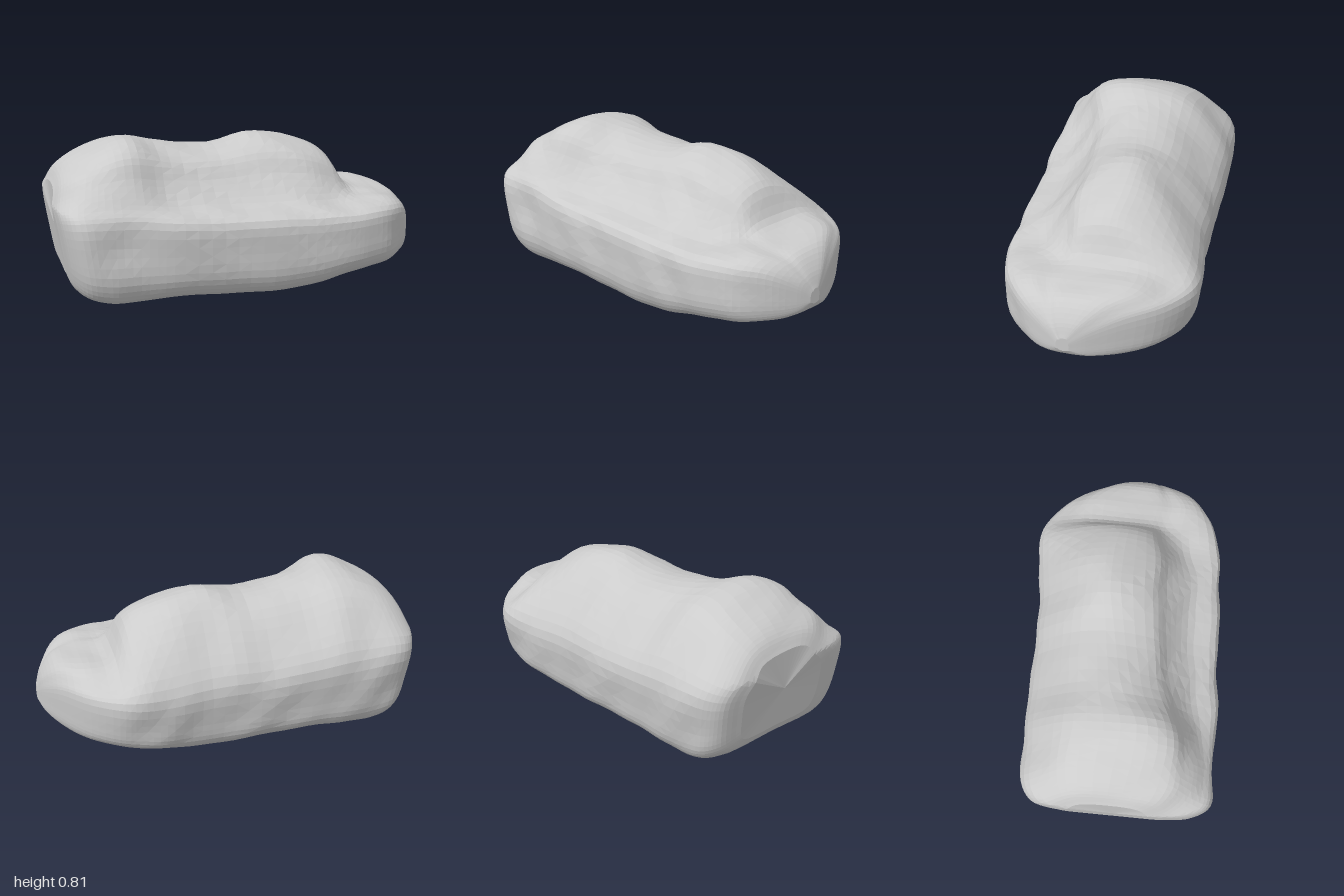
import * as THREE from 'three';

// Cross-sections along the boulder:
// x, bottom, front z, back z, ledge y, ledge inner z, top y, crest z, back shoulder z
const SECTIONS = [
  [-1.0, 0.14, 0.29, -0.26, 0.46, 0.24, 0.57, 0.06, -0.15],
  [-0.98, 0.09, 0.43, -0.38, 0.49, 0.36, 0.64, 0.08, -0.18],
  [-0.92, 0.05, 0.52, -0.44, 0.51, 0.43, 0.70, 0.10, -0.20],
  [-0.78, 0.025, 0.54, -0.47, 0.52, 0.44, 0.755, 0.12, -0.20],
  [-0.60, 0.02, 0.53, -0.48, 0.51, 0.42, 0.80, 0.12, -0.18],
  [-0.42, 0.03, 0.53, -0.48, 0.48, 0.36, 0.755, 0.03, -0.19],
  [-0.12, 0.015, 0.51, -0.49, 0.46, 0.30, 0.725, -0.04, -0.21],
  [0.16, 0.005, 0.50, -0.49, 0.45, 0.29, 0.768, -0.09, -0.21],
  [0.38, 0.03, 0.49, -0.53, 0.44, 0.27, 0.725, -0.09, -0.22],
  [0.53, 0.06, 0.475, -0.535, 0.43, 0.21, 0.65, -0.07, -0.21],
  [0.64, 0.075, 0.45, -0.51, 0.43, 0.20, 0.48, -0.08, -0.28],
  [0.78, 0.09, 0.39, -0.41, 0.425, 0.22, 0.455, -0.04, -0.27],
  [0.90, 0.11, 0.27, -0.225, 0.39, 0.16, 0.425, 0.01, -0.14],
  [0.97, 0.14, 0.15, -0.075, 0.31, 0.11, 0.34, 0.03, -0.04],
  [1.0, 0.18, 0.075, 0.01, 0.24, 0.06, 0.26, 0.04, 0.02],
];
const RINGS = 60;
const SIDES = 56;
const mix = THREE.MathUtils.lerp;

// Closed outline of one section, from the underside up the front and over
function outline([x, b, zf, zb, ys, zs, yt, zc, zk]) {
  const rise = yt - ys;
  const yBack = mix(b, ys, 0.84);
  return [
    [mix(zf, zb, 0.5), b],
    [zf * 0.84, b + 0.008],
    [zf * 0.97, mix(b, ys, 0.2)],
    [zf, mix(b, ys, 0.55)],
    [zf * 0.97, mix(b, ys, 0.9)],
    [mix(zs, zf, 0.25), ys + 0.01],
    [mix(zs, zc, 0.18), ys + rise * 0.4],
    [mix(zs, zc, 0.43), ys + rise * 0.78],
    [zc, yt],
    [zk, yt - rise * 0.14],
    [mix(zk, zb, 0.6), mix(yBack, yt, 0.47)],
    [zb, yBack],
    [zb * 0.98, mix(b, ys, 0.4)],
    [zb * 0.93, mix(b, ys, 0.14)],
    [zb * 0.8, b + 0.008],
  ].map(([z, y]) => new THREE.Vector3(x, y, z));
}

// Leaning left end and gentle weathering dents
function weather(p) {
  const end = THREE.MathUtils.smoothstep(-p.x, 0.65, 0.95);
  p.x += end * (p.y < 0.5 ? 0.16 * (0.5 - p.y) : 0.3 * (p.y - 0.5));
  const n = Math.sin(p.x * 13 + p.y * 9) * Math.sin(p.z * 12 - p.y * 7 + 1)
    + 0.5 * Math.sin(p.x * 23 - p.z * 17 + p.y * 14);
  const pit = Math.exp(-((p.x + 0.72) ** 2 + (p.y - 0.33) ** 2) / 0.012);
  p.z += Math.sign(p.z) * Math.min(1, Math.abs(p.z) * 5) * 0.005 * n;
  if (p.z > 0.3) p.z -= 0.02 * pit;
  p.y += 0.004 * n * THREE.MathUtils.smoothstep(p.y, 0.2, 0.4);
  return p;
}

function boulderGeometry() {
  const loops = SECTIONS.map(outline);
  const rails = loops[0].map((_, k) => new THREE.CatmullRomCurve3(loops.map((l) => l[k])));
  const pos = [];
  const index = [];
  for (let i = 0; i <= RINGS; i++) {
    const ring = new THREE.CatmullRomCurve3(rails.map((r) => r.getPoint(i / RINGS)), true);
    for (let j = 0; j < SIDES; j++) pos.push(...weather(ring.getPoint(j / SIDES)).toArray());
  }
  for (let i = 0; i < RINGS; i++) {
    for (let j = 0; j < SIDES; j++) {
      const a = i * SIDES + j;
      const d = i * SIDES + (j + 1) % SIDES;
      // Alternate the diagonals so the facets do not line up
      if ((i + j) % 2) index.push(a, a + SIDES, d + SIDES, a, d + SIDES, d);
      else index.push(a, a + SIDES, d, a + SIDES, d + SIDES, d);
    }
  }
  // Close both ends with a fan
  for (const i of [0, RINGS]) {
    const c = new THREE.Vector3();
    for (let j = 0; j < SIDES; j++) c.add(new THREE.Vector3().fromArray(pos, (i * SIDES + j) * 3));
    const centre = pos.length / 3;
    pos.push(...c.divideScalar(SIDES).toArray());
    for (let j = 0; j < SIDES; j++) {
      const a = i * SIDES + j;
      const d = i * SIDES + (j + 1) % SIDES;
      if (i === 0) index.push(centre, a, d);
      else index.push(centre, d, a);
    }
  }
  const g = new THREE.BufferGeometry();
  g.setAttribute('position', new THREE.Float32BufferAttribute(pos, 3));
  g.setIndex(index);
  g.computeVertexNormals();
  g.computeBoundingBox();
  g.translate(0, -g.boundingBox.min.y, 0);
  return g;
}

export function createModel() {
  const model = new THREE.Group();
  model.name = 'rock';
  const boulder = new THREE.Mesh(
    boulderGeometry(),
    new THREE.MeshStandardMaterial({ color: 0xcccccc, flatShading: true }),
  );
  boulder.name = 'boulder';
  model.add(boulder);
  return model;
}
